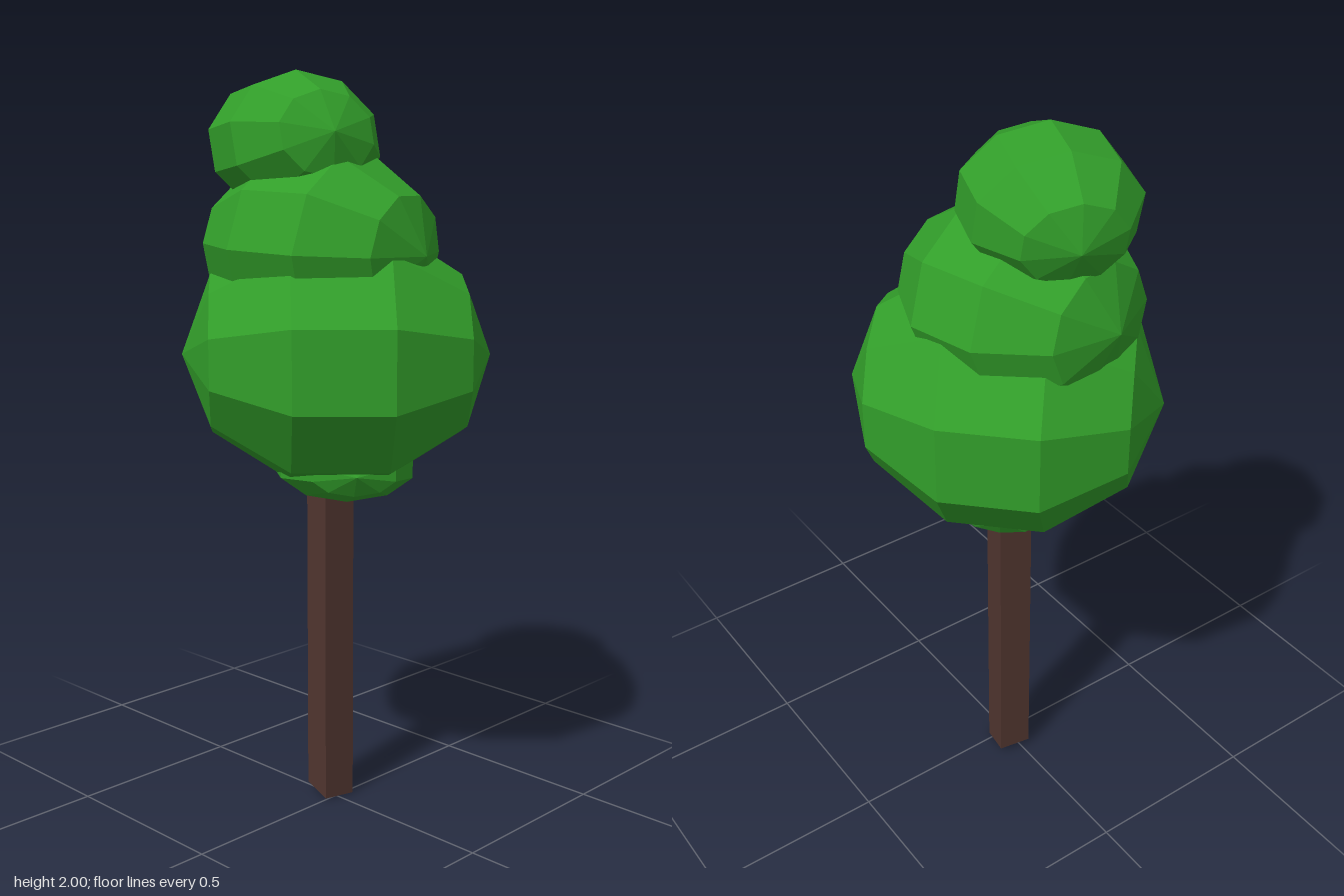
import * as THREE from 'three';

export function createModel() {
  const tree = new THREE.Group();
  const leaves = new THREE.MeshStandardMaterial({ color: 0x329e2a, flatShading: true });
  const bark = new THREE.MeshStandardMaterial({ color: 0x50352f, flatShading: true });
  const rad = THREE.MathUtils.degToRad;

  // Foliage clumps: squashed low-poly balls whose poles lie sideways
  const ball = new THREE.SphereGeometry(1, 10, 5).rotateZ(Math.PI / 2);
  const clumps = [
    // name, centre, radii, then roll, tilt and turn in degrees
    ['lowerTuft', [0.015, 0.97, -0.01], [0.215, 0.1, 0.18], 0, 0, -40],
    ['mainCrown', [0, 1.267, 0], [0.425, 0.362, 0.402], 0, 0, 46],
    ['middleCrown', [-0.03, 1.55, 0.025], [0.322, 0.265, 0.305], 18, -3, 12],
    ['topCrown', [-0.098, 1.82, 0.055], [0.24, 0.188, 0.222], 4, 8, -20],
  ];
  for (const [name, centre, radii, roll, tilt, turn] of clumps) {
    const shape = ball.clone().rotateX(rad(roll)).rotateZ(rad(tilt)).rotateY(rad(turn));
    const clump = new THREE.Mesh(shape, leaves);
    clump.name = name;
    clump.position.set(...centre);
    clump.scale.set(...radii);
    tree.add(clump);
  }

  // Square trunk, slightly turned, with a slanted foot
  const post = new THREE.BoxGeometry(0.092, 1, 0.092).translate(0, 0.5, 0);
  post.rotateY(rad(-12)).translate(-0.035, 0, -0.013);
  const p = post.attributes.position;
  for (let i = 0; i < p.count; i++) {
    if (p.getY(i) < 0.5) p.setY(i, 0.2 * (0.02 - p.getX(i)));
  }
  post.computeVertexNormals();
  const trunk = new THREE.Mesh(post, bark);
  trunk.name = 'trunk';
  tree.add(trunk);

  return tree;
}
